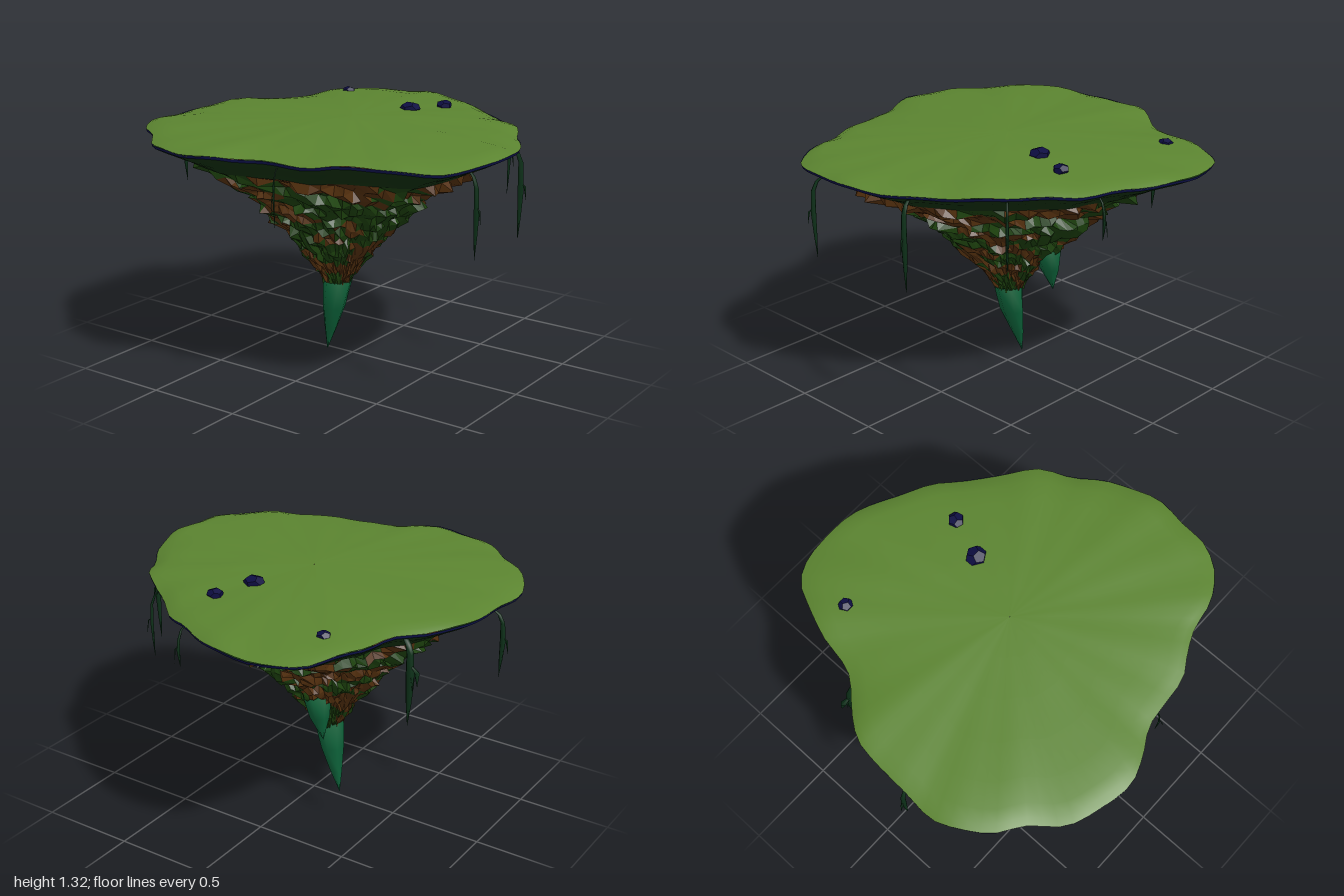
import * as THREE from 'three';

const RIM = [
  [-0.15, -0.98], [0, -0.94], [0.15, -0.86], [0.3, -0.79], [0.42, -0.68], [0.6, -0.54], [0.72, -0.44],
  [0.8, -0.29], [0.9, -0.15], [0.96, 0], [0.99, 0.13], [0.97, 0.3], [0.96, 0.43], [0.9, 0.55], [0.8, 0.63],
  [0.7, 0.67], [0.58, 0.69], [0.45, 0.75], [0.35, 0.81], [0.2, 0.83], [0.05, 0.85], [-0.08, 0.92],
  [-0.22, 0.97], [-0.4, 0.94], [-0.57, 0.88], [-0.7, 0.74], [-0.83, 0.65], [-0.92, 0.52], [-0.97, 0.4],
  [-0.96, 0.2], [-0.95, 0], [-0.93, -0.12], [-0.86, -0.23], [-0.72, -0.39], [-0.69, -0.48], [-0.67, -0.6],
  [-0.6, -0.78], [-0.53, -0.91], [-0.4, -0.97],
];
const SEG = 84;
const outline = new THREE.CatmullRomCurve3(RIM.map(([x, z]) => new THREE.Vector3(x, 0, z)), true)
  .getSpacedPoints(SEG).slice(0, SEG);

const hash = (a, b) => {
  const s = Math.sin(a * 127.1 + b * 311.7) * 43758.5453;
  return s - Math.floor(s);
};
const rimWave = (j) => 0.006 * Math.sin(j * 0.6) + 0.004 * Math.sin(j * 1.42 + 1);

const material = (color, flatShading = false) =>
  new THREE.MeshStandardMaterial({ color, flatShading, side: THREE.DoubleSide });

// Skin between closed rings of points; keep(i, j) chooses which quads to fill
function loft(rings, keep = () => true) {
  const n = rings[0].length;
  const index = [];
  for (let i = 0; i < rings.length - 1; i++) {
    for (let j = 0; j < n; j++) {
      if (!keep(i, j)) continue;
      const a = i * n + j, b = i * n + (j + 1) % n;
      index.push(a, b, a + n, b, b + n, a + n);
    }
  }
  const g = new THREE.BufferGeometry().setFromPoints(rings.flat());
  g.setIndex(index);
  g.computeVertexNormals();
  return g;
}

// Rings given as [x, y, z, radiusX, radiusZ]
const circles = (list, sides) => list.map(([x, y, z, rx, rz = rx]) =>
  Array.from({ length: sides }, (_, k) => {
    const t = (k / sides) * Math.PI * 2;
    return new THREE.Vector3(x + rx * Math.cos(t), y, z + rz * Math.sin(t));
  }));

// Island ring: outline scaled by s, growing rounder and drifting to the stem as s shrinks
function islandRing(s, y, rough = 0, row = 0) {
  const round = 1 - s;
  return outline.map((p, j) => {
    const a = Math.atan2(p.z, p.x);
    const r = THREE.MathUtils.lerp(Math.hypot(p.x, p.z), 0.95, round * 0.8) * s;
    const crag = 1 + rough * ((hash(Math.floor((j + row * 2) / 3), row) - 0.5) * 1.5 + hash(j, row + 40) - 0.5);
    return new THREE.Vector3(
      r * crag * Math.cos(a) - 0.07 * round,
      y + rimWave(j) * s * s + rough * 0.22 * (hash(j, row + 90) - 0.5),
      r * crag * Math.sin(a) + 0.05 * round);
  });
}

export function createModel() {
  const group = new THREE.Group();
  const add = (name, geometry, mat, parent = group) => {
    const mesh = new THREE.Mesh(geometry, mat);
    mesh.name = name;
    parent.add(mesh);
    return mesh;
  };

  // Grass top, gently domed
  const dome = [[0.001, 1.3], [0.2, 1.298], [0.4, 1.291], [0.6, 1.283], [0.78, 1.273], [0.9, 1.261], [0.96, 1.25], [1, 1.235]];
  const topRings = dome.map(([s, y], i) => outline.map((p, j) => new THREE.Vector3(
    p.x * s, y + rimWave(j) * s * s + 0.005 * Math.sin(p.x * s * 9 + i) * Math.sin(p.z * s * 8), p.z * s)));
  add('grassTop', loft(topRings), material(0x5b8430));

  // Dark edge below the grass
  add('rimEdge', loft([islandRing(1, 1.235), islandRing(0.995, 1.22)]), material(0x0d1148));

  // Smooth soil overhang
  add('soilOverhang', loft([[0.995, 1.22], [0.93, 1.185], [0.84, 1.145], [0.77, 1.105]]
    .map(([s, y]) => islandRing(s, y))), material(0x12300f));

  // Craggy underside, split into green and brown patches
  const profile = new THREE.CatmullRomCurve3(
    [[0.77, 1.105], [0.6, 1.0], [0.49, 0.9], [0.39, 0.8], [0.3, 0.7], [0.21, 0.6], [0.13, 0.5], [0.075, 0.41]]
      .map(([s, y]) => new THREE.Vector3(s, y, 0)));
  const rockRings = profile.getPoints(20).map((p, i) => islandRing(p.x, p.y, i === 0 ? 0 : 0.13, i));
  const brown = (i, j) => hash(Math.floor((j + (i % 2) * 2) / 4), Math.floor(i / 2) + 7) > 0.55;
  add('mossyRock', loft(rockRings, (i, j) => !brown(i, j)), material(0x1c400d, true));
  add('brownRock', loft(rockRings, brown), material(0x54300e, true));

  // Hanging crystals: a long one at the foot and a short one behind
  const crystalMat = material(0x0c6038);
  const crystal = (name, list) => add(name, loft(circles(list, 7)), crystalMat);
  crystal('footCrystal', [
    [-0.06, 0.412, 0.05, 0.001], [-0.06, 0.41, 0.05, 0.08], [-0.085, 0.26, 0.05, 0.058, 0.072],
    [-0.118, 0.12, 0.037, 0.03, 0.036], [-0.145, 0, 0.03, 0.001]]);
  crystal('backCrystal', [
    [-0.13, 0.672, -0.17, 0.001], [-0.13, 0.67, -0.17, 0.075], [-0.145, 0.55, -0.168, 0.052, 0.055],
    [-0.17, 0.42, -0.17, 0.001]]);

  // Vines over the rim: [x, z, tip height, thickness]
  const vines = [
    [-0.97, 0.2, 0.85, 0.015], [-0.77, -0.35, 0.76, 0.023], [0.6, -0.57, 0.85, 0.009], [0.885, -0.18, 0.74, 0.016],
    [0.965, 0.38, 0.79, 0.014], [0.15, 0.84, 0.92, 0.005], [0.22, -0.83, 1.0, 0.009],
  ];
  const vineMat = material(0x0c3018);
  vines.forEach(([x, z, tip, r], k) => {
    const vine = new THREE.Group();
    vine.name = 'vine' + (k + 1);
    group.add(vine);
    const at = (f, y, w) => [x * f, y, z * f, w];
    const span = 1.14 - tip;
    add('strand', loft(circles([
      at(0.94, 1.215, r * 0.6), at(0.98, 1.185, r * 0.7), at(1, 1.14, r * 0.8),
      at(1.005, 1.14 - span * 0.35, r), at(1, 1.14 - span * 0.7, r * 0.6), at(0.995, tip, 0.0005)], 5)), vineMat, vine);
    // Side twig bending outward and down
    const y = 1.14 - span * 0.3, w = r * 0.3;
    add('twig', loft(circles([
      at(0.995, y + 0.02, w), at(1.025, y, w * 1.4), at(1.035, y - 0.07, 0.0005)], 4)), vineMat, vine);
  });
  // Broad leaf on the back right vine
  add('vineLeaf', loft(circles([
    [-0.77, 1.09, -0.35, 0.004], [-0.815, 1.06, -0.36, 0.016], [-0.825, 0.99, -0.37, 0.0005]], 4)), vineMat);

  // Stones resting on the grass: [x, y, z, radius]
  const stoneMat = material(0x0d0d42, true);
  [[0.13, 1.292, -0.34, 0.055], [0.21, 1.285, -0.55, 0.043], [-0.48, 1.272, -0.64, 0.038]].forEach(([x, y, z, r], k) => {
    const stone = add('stone' + (k + 1), new THREE.DodecahedronGeometry(r), stoneMat);
    stone.position.set(x, y, z);
    stone.rotation.y = k * 1.3;
    stone.scale.set(1, 0.62, 1);
  });

  return group;
}
